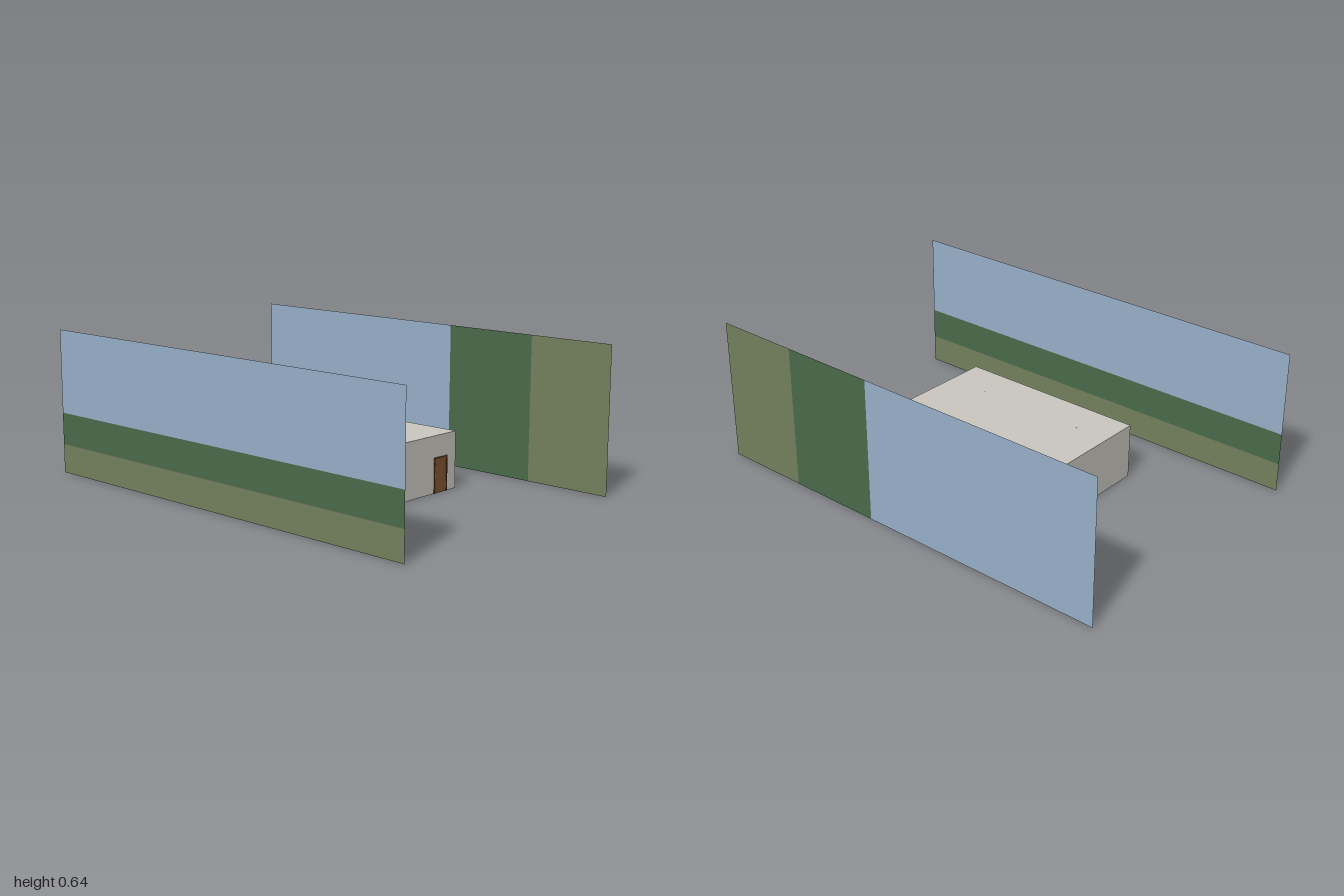
import * as THREE from 'three';

const paint = (name, color, side = THREE.FrontSide) => {
  const m = new THREE.MeshStandardMaterial({ color, side });
  m.name = name;
  return m;
};

export function createModel() {
  const model = new THREE.Group();
  model.name = 'roomWithBackdrops';
  const wallPaint = paint('wallPlaster', 0xc9c7c0);
  const floorPaint = paint('floorGrey', 0x8c8982);
  const doorPaint = paint('doorBrown', 0x7d5433);
  const framePaint = paint('doorFrameBrown', 0x5c3618);
  const windowPaint = paint('windowFrameGrey', 0x6b6c6c);
  const metal = paint('lightMetal', 0xc4c4c0);
  const skyBlue = paint('skyBlue', 0x98b0c9, THREE.DoubleSide);
  const treeGreen = paint('treeGreen', 0x4a6b4a, THREE.DoubleSide);
  const grassGreen = paint('grassGreen', 0x74805c, THREE.DoubleSide);

  const add = (name, geometry, material, x, y, z, parent = model) => {
    const mesh = new THREE.Mesh(geometry, material);
    mesh.name = name;
    mesh.position.set(x, y, z);
    parent.add(mesh);
    return mesh;
  };
  const box = (name, w, h, d, material, x, y, z, parent) =>
    add(name, new THREE.BoxGeometry(w, h, d), material, x, y, z, parent);

  // Room size
  const HX = 0.335, HZ = 0.443, H = 0.25, T = 0.012;
  const winW = 0.095, winY0 = 0.132, winY1 = 0.2;
  const winH = winY1 - winY0, winY = (winY0 + winY1) / 2;
  const winZ = [0.213, -0.005, -0.223];

  // Floor, roof, end walls
  box('floor', 2 * (HX - T), 0.01, 2 * (HZ - T), floorPaint, 0, 0.006, 0);
  box('roof', 2 * HX, T, 2 * HZ, wallPaint, 0, H - T / 2, 0);
  for (const s of [1, -1])
    box(s > 0 ? 'frontWall' : 'backWall', 2 * HX, H - T, T, wallPaint, 0, (H - T) / 2, s * (HZ - T / 2));

  // Side walls with window openings
  const sideShape = new THREE.Shape();
  const rect = (p, x0, y0, x1, y1) =>
    p.moveTo(x0, y0).lineTo(x1, y0).lineTo(x1, y1).lineTo(x0, y1).closePath();
  rect(sideShape, -HZ + T, 0, HZ - T, H - T);
  for (const z of winZ) {
    const hole = new THREE.Path();
    // shape x runs along -z
    rect(hole, -z - winW / 2, winY0, -z + winW / 2, winY1);
    sideShape.holes.push(hole);
  }
  const sideGeo = new THREE.ExtrudeGeometry(sideShape, { depth: T, bevelEnabled: false });
  sideGeo.rotateY(Math.PI / 2);
  for (const s of [1, -1]) {
    add(s > 0 ? 'leftWall' : 'rightWall', sideGeo, wallPaint, s > 0 ? HX - T : -HX, 0, 0);
    // Windows: recessed glass, outer frame, one mullion, one transom
    for (const z of winZ) {
      const w = new THREE.Group();
      w.name = 'window';
      w.position.set(s * (HX - T / 2), winY, z);
      box('glass', 0.003, winH, winW, skyBlue, 0, 0, 0, w);
      for (const e of [1, -1]) {
        box('frameRail', 0.008, 0.004, winW, windowPaint, 0, e * (winH / 2 - 0.002), 0, w);
        box('frameStile', 0.008, winH, 0.004, windowPaint, 0, 0, e * (winW / 2 - 0.002), w);
      }
      box('mullion', 0.008, winH, 0.005, windowPaint, 0, 0, 0, w);
      box('transom', 0.008, 0.004, winW, windowPaint, 0, 0.012, 0, w);
      model.add(w);
    }
  }

  // Door in the front wall
  const door = new THREE.Group();
  door.name = 'door';
  door.position.set(0.235, 0, HZ);
  box('doorLeaf', 0.074, 0.149, 0.004, doorPaint, 0, 0.0745, 0, door);
  box('doorHead', 0.084, 0.006, 0.008, framePaint, 0, 0.152, 0, door);
  for (const s of [1, -1])
    box('doorJamb', 0.006, 0.155, 0.008, framePaint, s * 0.039, 0.0775, 0, door);
  box('handlePlate', 0.003, 0.022, 0.002, metal, -0.034, 0.077, 0.0025, door);
  box('handleLever', 0.012, 0.0025, 0.002, metal, -0.0295, 0.075, 0.004, door);
  for (const y of [0.11, 0.14]) box('latch', 0.003, 0.01, 0.002, metal, -0.039, y, 0.0038, door);
  model.add(door);

  // Ceiling lamps, their rods showing just above the roof
  for (const x of [-0.165, 0.165]) for (const z of [0.24, -0.28]) {
    add('lampRod', new THREE.CylinderGeometry(0.003, 0.003, 0.032, 10), windowPaint, x, H - 0.0145, z);
    add('lampShade', new THREE.CylinderGeometry(0.01, 0.025, 0.014, 16), metal, x, 0.214, z);
  }

  // Tables inside, legs reaching the ground
  for (const x of [-0.14, 0.14]) for (const z of [-0.25, 0, 0.22]) {
    box('tableTop', 0.12, 0.005, 0.07, doorPaint, x, 0.065, z);
    for (const sx of [1, -1]) for (const sz of [1, -1])
      box('tableLeg', 0.004, 0.063, 0.004, framePaint, x + sx * 0.054, 0.0315, z + sz * 0.03);
  }

  // Landscape backdrops: bands run along the left one from front to back,
  // and up the right one from the ground
  const PX = 0.648, PH = 0.645;
  const bands = [['grass', 0, 0.2, grassGreen], ['trees', 0.2, 0.422, treeGreen], ['sky', 0.422, 1, skyBlue]];
  for (const [name, a, b, material] of bands) {
    const mid = (a + b) / 2, size = b - a;
    add(name + 'LeftBackdrop', new THREE.PlaneGeometry(2 * size, PH).rotateY(Math.PI / 2),
      material, PX, PH / 2, 1 - 2 * mid);
    add(name + 'RightBackdrop', new THREE.PlaneGeometry(2, PH * size).rotateY(Math.PI / 2),
      material, -PX, PH * mid, 0);
  }
  return model;
}
